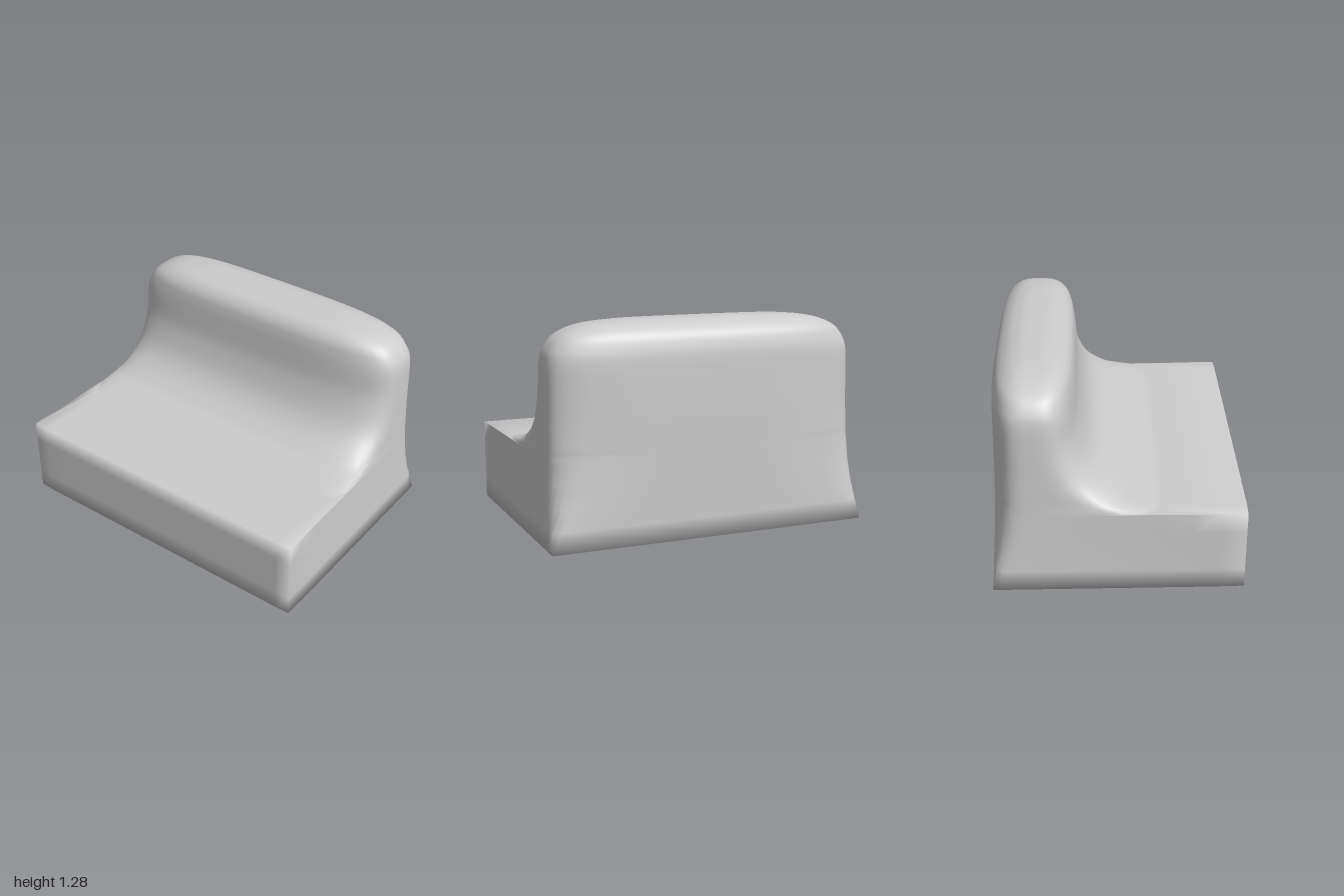
import * as THREE from 'three';
import { mergeVertices } from 'three/addons/utils/BufferGeometryUtils.js';

const ZC = -0.49; // centre line of the backrest

// Horizontal sections: [height, front half-width, back half-width, front z, back z,
// front corner softness, back corner softness] (softness 0 = square)
const base = [
  [0, 1, 1, 0.74, -0.74, 0.005, 0.005],
  [0.12, 1, 0.992, 0.74, -0.74, 0.005, 0.08],
  [0.25, 1, 0.985, 0.74, -0.74, 0.005, 0.16],
  [0.38, 1, 0.98, 0.74, -0.74, 0.005, 0.22],
  [0.5, 1, 0.975, 0.74, -0.74, 0.005, 0.25],
];
const back = [
  [0.5, 0.99, 0.975, 0.26, -0.74, 0.07, 0.25],
  [0.54, 0.978, 0.974, 0.08, -0.74, 0.11, 0.26],
  [0.575, 0.974, 0.973, 0, -0.74, 0.14, 0.26],
  [0.65, 0.972, 0.972, -0.1, -0.74, 0.19, 0.27],
  [0.75, 0.97, 0.97, -0.17, -0.74, 0.23, 0.28],
  [0.9, 0.968, 0.968, -0.22, -0.738, 0.27, 0.28],
  [1.05, 0.963, 0.963, -0.237, -0.735, 0.28, 0.28],
  [1.13, 0.94, 0.94, -0.245, -0.725, 0.29, 0.29],
  [1.2, 0.88, 0.88, -0.262, -0.7, 0.29, 0.29],
  [1.25, 0.76, 0.76, -0.305, -0.645, 0.29, 0.29],
  [1.272, 0.6, 0.6, -0.365, -0.59, 0.29, 0.29],
  [1.28, 0.42, 0.42, -0.42, -0.55, 0.29, 0.29],
  [1.282, 0, 0, ZC, ZC, 0.29, 0.29],
];

// Catmull-Rom refinement of the section table
function refine(rows, steps) {
  const out = [];
  const at = (i) => rows[Math.min(Math.max(i, 0), rows.length - 1)];
  for (let i = 0; i < rows.length - 1; i++) {
    for (let s = 0; s < steps; s++) {
      const t = s / steps;
      out.push(at(i).map((b, k) => {
        const a = at(i - 1)[k], c = at(i + 1)[k], d = at(i + 2)[k];
        return b + 0.5 * t * (c - a + t * (2 * a - 5 * b + 4 * c - d + t * (3 * (b - c) + d - a)));
      }));
    }
  }
  out.push(at(rows.length - 1));
  return out;
}

// Unit square outline, counter-clockwise seen from above
function squareOutline(nx, nz) {
  const pts = [];
  for (let i = 0; i < nx; i++) pts.push([-1 + (2 * i) / nx, 1]);
  for (let i = 0; i < nz; i++) pts.push([1, 1 - (2 * i) / nz]);
  for (let i = 0; i < nx; i++) pts.push([1 - (2 * i) / nx, -1]);
  for (let i = 0; i < nz; i++) pts.push([-1, -1 + (2 * i) / nz]);
  return pts;
}

function loftSections(rows, outline) {
  const pos = [], index = [], n = outline.length;
  for (const [y, wf, wb, zf, zb, sf, sb] of rows) {
    for (const [u, v] of outline) {
      const p = 1 / Math.max(v > 0 ? sf : sb, 0.005);
      const r = Math.pow(Math.abs(u) ** p + Math.abs(v) ** p, -1 / p);
      const w = THREE.MathUtils.lerp(wb, wf, Math.max(v, 0));
      pos.push(u * r * w, y, ZC + v * r * (v > 0 ? zf - ZC : ZC - zb));
    }
  }
  for (let j = 0; j < rows.length - 1; j++) {
    for (let i = 0; i < n; i++) {
      const a = j * n + i, b = j * n + ((i + 1) % n);
      index.push(a, b, b + n, a, b + n, a + n);
    }
  }
  const geo = new THREE.BufferGeometry();
  geo.setAttribute('position', new THREE.Float32BufferAttribute(pos, 3));
  geo.setIndex(index);
  const merged = mergeVertices(geo, 1e-4);
  merged.computeVertexNormals();
  return merged;
}

export function createModel() {
  const model = new THREE.Group();
  model.name = 'sofa';

  // Underside rings close the base
  const under = [
    [0, 0, 0, ZC, ZC, 0.005, 0.005],
    [0, 0.7, 0.7, 0.35, -0.64, 0.005, 0.005],
  ];
  const rows = [...under, ...base, ...refine(back, 4)];
  const body = new THREE.Mesh(
    loftSections(rows, squareOutline(20, 16)),
    new THREE.MeshStandardMaterial({ color: 0xcccccc, side: THREE.DoubleSide })
  );
  body.name = 'seatAndBackrest';
  model.add(body);
  return model;
}
